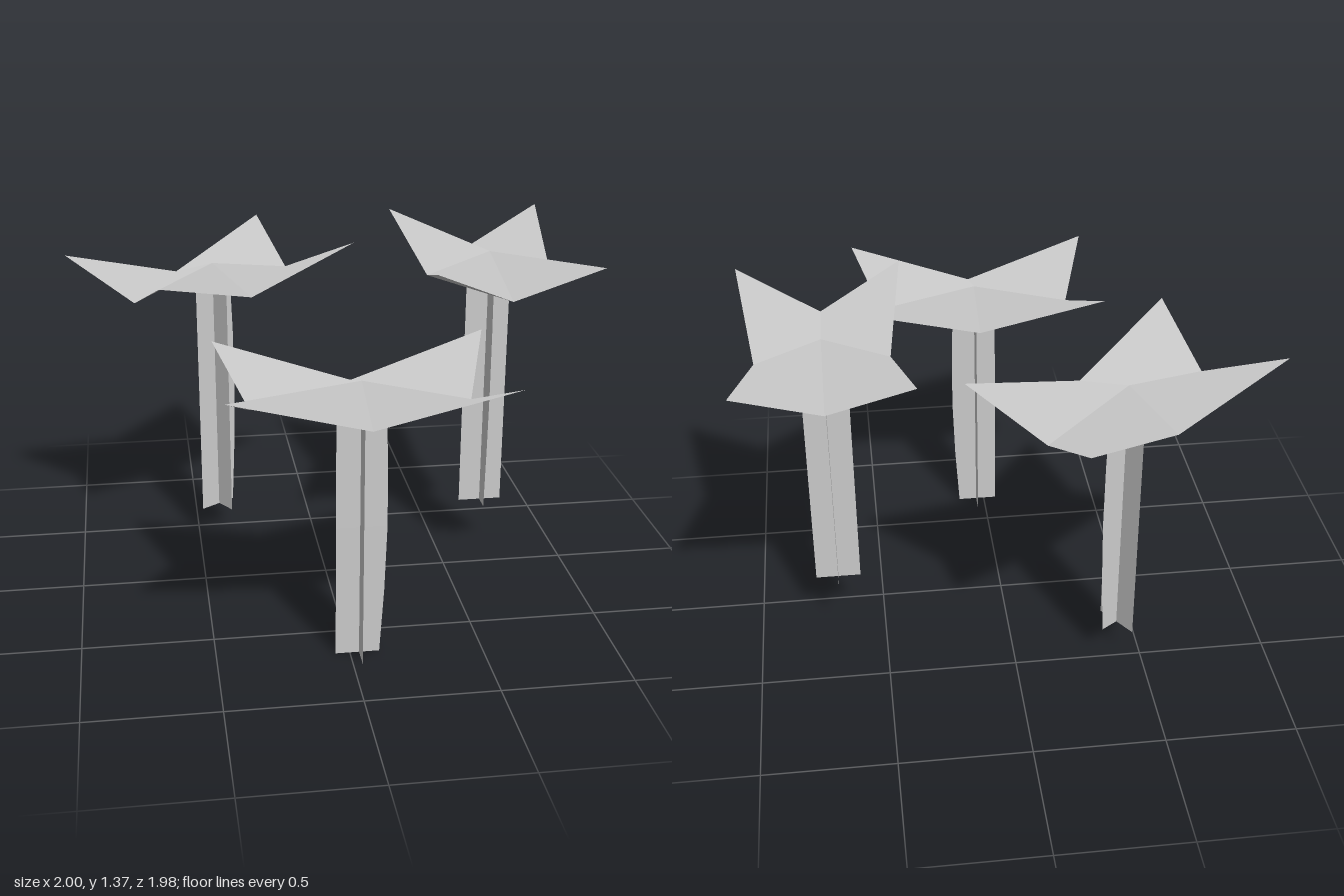
import * as THREE from 'three';

const material = new THREE.MeshStandardMaterial({ color: 0xcccccc, side: THREE.DoubleSide });

// Star-shaped cap: four slightly warped panels, each shaded as one face
function makeCap() {
  const v = (x, y, z) => new THREE.Vector3(x, y, z);
  const centre = v(0, 1.09, 0);
  const positions = [], normals = [];
  for (const [sx, sz] of [[-1, 1], [1, 1], [1, -1], [-1, -1]]) {
    const corner = v(0.502 * sx, 1.15, 0.319 * sz);
    const side = v(0.395 * sx, 1, 0);
    const end = v(0, 1, 0.252 * sz);
    // order the panel counter-clockwise from above
    const [a, b] = sx * sz > 0 ? [end, side] : [side, end];
    const triangles = sx * sz < 0
      ? [centre, a, corner, centre, corner, b]
      : [centre, a, b, a, corner, b];
    const normal = corner.clone().sub(centre).cross(b.clone().sub(a)).normalize();
    for (const p of triangles) {
      positions.push(p.x, p.y, p.z);
      normals.push(normal.x, normal.y, normal.z);
    }
  }
  const geometry = new THREE.BufferGeometry();
  geometry.setAttribute('position', new THREE.Float32BufferAttribute(positions, 3));
  geometry.setAttribute('normal', new THREE.Float32BufferAttribute(normals, 3));
  const cap = new THREE.Mesh(geometry, material);
  cap.name = 'cap';
  return cap;
}

// Stem: two crossed upright sheets, one with a gently bowed edge
function makeStem() {
  const stem = new THREE.Group();
  stem.name = 'stem';
  for (const turn of [0, Math.PI / 2]) {
    const geometry = new THREE.PlaneGeometry(0.178, 1.04, 2, 4);
    geometry.translate(0, 0.52, 0);
    geometry.rotateY(turn);
    const pos = geometry.attributes.position;
    for (let i = 0; i < pos.count; i++) {
      const t = pos.getY(i) / 1.04;
      if (pos.getX(i) > 0.05) pos.setX(i, 0.077 + 0.018 * Math.sin(Math.PI * t) + 0.012 * t);
    }
    const sheet = new THREE.Mesh(geometry, material);
    sheet.name = 'stemSheet';
    stem.add(sheet);
  }
  return stem;
}

export function createModel() {
  const model = new THREE.Group();
  model.name = 'mushrooms';
  // x, y, z, turn about the upright axis
  const places = [
    ['frontMushroom', 0.035, 0, 0.665, 0],
    ['leftMushroom', 0.68, 0.222, -0.14, -Math.PI / 2],
    ['backMushroom', -0.41, 0.128, -0.447, 0.6],
  ];
  for (const [name, x, y, z, turn] of places) {
    const mushroom = new THREE.Group();
    mushroom.name = name;
    mushroom.add(makeCap(), makeStem());
    mushroom.position.set(x, y, z);
    mushroom.rotation.y = turn;
    model.add(mushroom);
  }
  return model;
}
